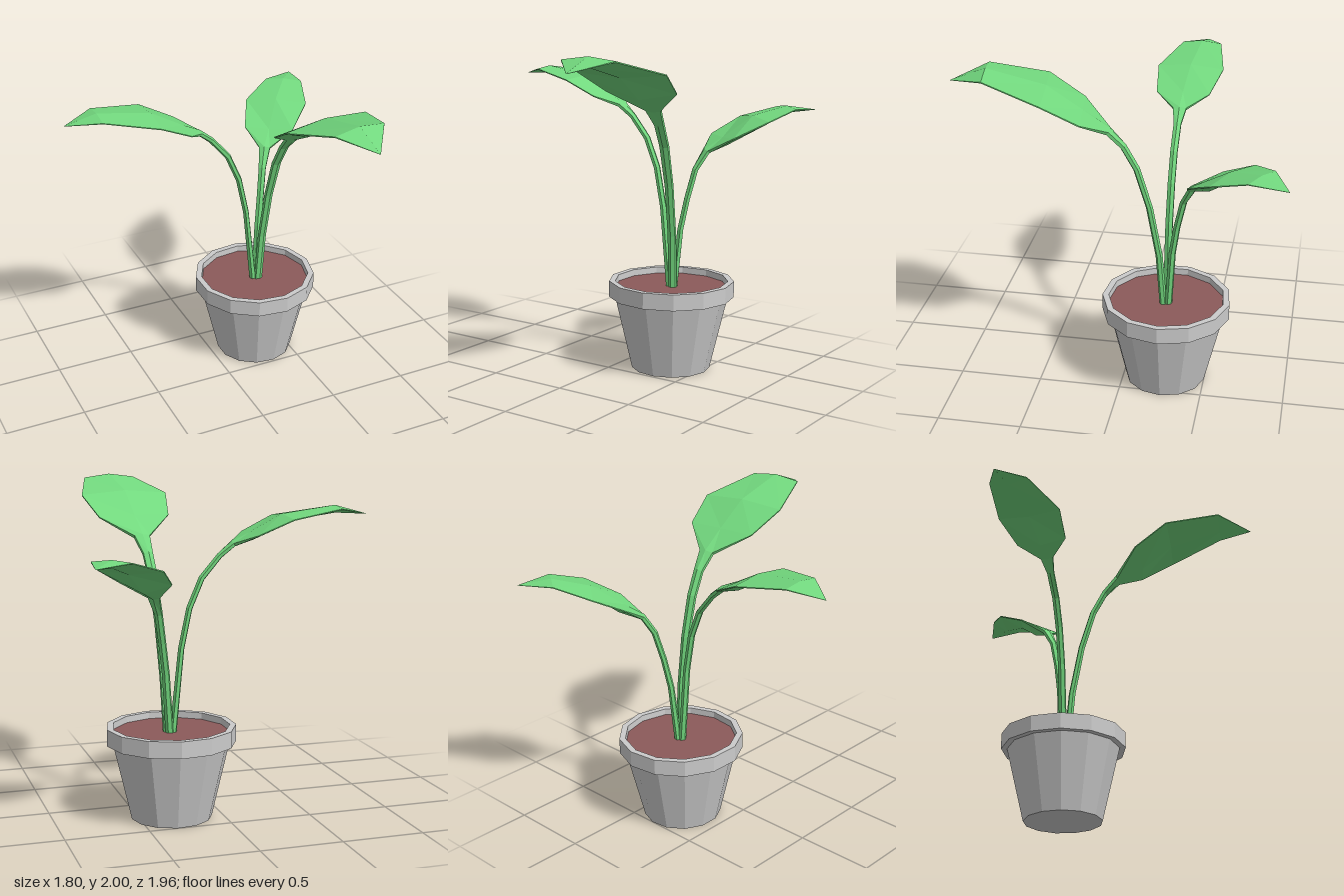
import * as THREE from 'three';

const material = (color) =>
  new THREE.MeshStandardMaterial({ color, flatShading: true });

const CENTER = [0.3, -0.257]; // pot axis (x, z)
const SIDES = 13;

// Loft of six-sided sections: a round stem that flattens into a leaf.
// Each ring is [x, y, z, halfWidth, halfThickness, edgeLift].
function loftLeaf(rings, heading) {
  const side = new THREE.Vector3(-heading[1], 0, heading[0]).normalize();
  const centers = rings.map((r) => new THREE.Vector3(r[0], r[1], r[2]));
  const positions = [];
  const index = [];
  rings.forEach(([, , , w, h, lift = 0], i) => {
    const tangent = centers[Math.min(i + 1, rings.length - 1)].clone()
      .sub(centers[Math.max(i - 1, 0)]).normalize();
    const up = side.clone().cross(tangent).normalize();
    const e = w > 0.05 ? h * 0.12 : h * 0.5; // leaf edges are thin
    const section = [[0, h], [w, lift + e], [w, lift - e], [0, -h], [-w, lift - e], [-w, lift + e]];
    for (const [s, n] of section) {
      const p = centers[i].clone().addScaledVector(side, s).addScaledVector(up, n);
      positions.push(p.x, p.y, p.z);
    }
  });
  for (let i = 0; i < rings.length - 1; i++) {
    for (let j = 0; j < 6; j++) {
      const a = i * 6 + j;
      const b = i * 6 + ((j + 1) % 6);
      index.push(a, b, a + 6, b, b + 6, a + 6);
    }
  }
  const geometry = new THREE.BufferGeometry();
  geometry.setAttribute('position', new THREE.Float32BufferAttribute(positions, 3));
  geometry.setIndex(index);
  geometry.computeVertexNormals();
  return geometry;
}

export function createModel() {
  const group = new THREE.Group();
  const add = (name, geometry, mat) => {
    const mesh = new THREE.Mesh(geometry, mat);
    mesh.name = name;
    group.add(mesh);
    return mesh;
  };

  // Tapered pot with an overhanging rim
  const profile = [
    [0, 0], [0.245, 0], [0.353, 0.46], [0.39, 0.46],
    [0.39, 0.56], [0.352, 0.56], [0.35, 0.515],
  ].map(([x, y]) => new THREE.Vector2(x, y));
  const pot = add('pot', new THREE.LatheGeometry(profile, SIDES, Math.PI / 2), material(0xcccccc));
  pot.position.set(CENTER[0], 0, CENTER[1]);

  // Soil disc just below the rim
  const soilGeometry = new THREE.CircleGeometry(0.351, SIDES).rotateX(-Math.PI / 2);
  const soil = add('soil', soilGeometry, material(0x8c5a5a));
  soil.position.set(CENTER[0], 0.52, CENTER[1]);

  // Three arching leaves, each with its stem
  const green = material(0x72d87e);
  add('leftLeaf', loftLeaf([
    [0.288, 0.51, -0.257, 0.022, 0.022],
    [0.235, 1.02, -0.257, 0.021, 0.019],
    [0.185, 1.26, -0.26, 0.021, 0.019],
    [0.11, 1.435, -0.262, 0.021, 0.019],
    [0.0, 1.565, -0.265, 0.022, 0.018],
    [-0.08, 1.63, -0.265, 0.04, 0.018],
    [-0.195, 1.675, -0.27, 0.16, 0.025, 0.015],
    [-0.385, 1.78, -0.29, 0.2, 0.025],
    [-0.705, 1.827, -0.32, 0.12, 0.023, 0.005],
    [-0.9, 1.795, -0.34, 0.001, 0.001],
  ], [-1, -0.02]), green);

  add('frontLeaf', loftLeaf([
    [0.318, 0.51, -0.24, 0.024, 0.022],
    [0.33, 0.85, -0.213, 0.024, 0.021],
    [0.343, 1.17, -0.155, 0.025, 0.02],
    [0.355, 1.42, -0.08, 0.028, 0.02],
    [0.367, 1.56, -0.005, 0.03, 0.02],
    [0.38, 1.655, 0.08, 0.049, 0.02],
    [0.392, 1.75, 0.235, 0.227, 0.03, 0.02],
    [0.4, 1.888, 0.435, 0.28, 0.028],
    [0.42, 1.97, 0.77, 0.167, 0.03, 0.005],
    [0.43, 1.918, 0.975, 0.001, 0.001],
  ], [0.13, 0.99]), green);

  add('backLeaf', loftLeaf([
    [0.312, 0.51, -0.27, 0.022, 0.022],
    [0.34, 0.88, -0.293, 0.021, 0.02],
    [0.368, 1.07, -0.322, 0.021, 0.019],
    [0.4, 1.25, -0.362, 0.022, 0.019],
    [0.442, 1.36, -0.418, 0.035, 0.019],
    [0.52, 1.42, -0.512, 0.155, 0.03, 0.035],
    [0.642, 1.55, -0.66, 0.196, 0.027],
    [0.78, 1.608, -0.827, 0.118, 0.022, 0.007],
    [0.9, 1.6, -0.98, 0.001, 0.001],
  ], [0.56, -0.83]), green);

  return group;
}
